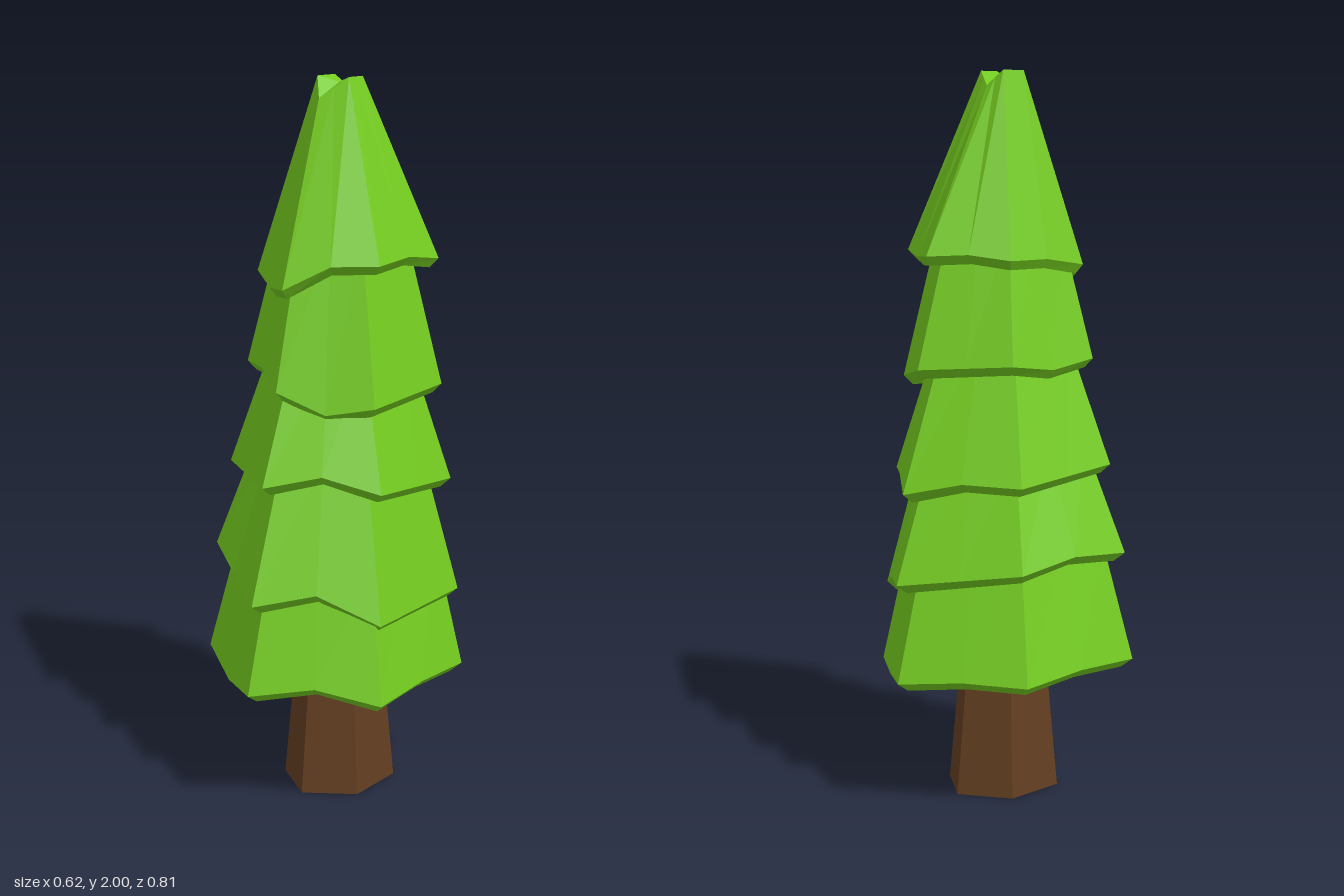
import * as THREE from 'three';

const leafGreen = new THREE.MeshStandardMaterial({ color: 0x74cc20, flatShading: true });
leafGreen.name = 'leafGreen';
const barkBrown = new THREE.MeshStandardMaterial({ color: 0x633e20, flatShading: true });
barkBrown.name = 'barkBrown';

// Skin a stack of equal rings of [x, y, z], listed bottom to top, and close both ends.
function loft(rings) {
  const pos = [];
  const n = rings[0].length;
  const tri = (a, b, c) => pos.push(...a, ...b, ...c);
  const centre = (ring) => [0, 1, 2].map((k) => ring.reduce((s, p) => s + p[k], 0) / n);
  for (let r = 0; r < rings.length - 1; r++) {
    for (let i = 0; i < n; i++) {
      const j = (i + 1) % n, lo = rings[r], hi = rings[r + 1];
      tri(lo[i], lo[j], hi[j]);
      tri(lo[i], hi[j], hi[i]);
    }
  }
  const first = rings[0], last = rings[rings.length - 1];
  const c0 = centre(first), c1 = centre(last);
  for (let i = 0; i < n; i++) {
    const j = (i + 1) % n;
    tri(first[j], first[i], c0);
    tri(last[i], last[j], c1);
  }
  const geo = new THREE.BufferGeometry();
  geo.setAttribute('position', new THREE.Float32BufferAttribute(pos, 3));
  geo.computeVertexNormals();
  return geo;
}

// Add a point halfway along every side, shifted up or down by dy.
function withMidpoints(corners, dy = []) {
  return corners.flatMap((a, i) => {
    const b = corners[(i + 1) % corners.length];
    const mid = a.map((v, k) => (v + b[k]) / 2);
    mid[1] += dy[i] || 0;
    return [a, mid];
  });
}

const shrink = (ring, s, lift) => ring.map(([x, y, z]) => [x * s, y + lift, z * s]);

// Hem corners run front, front +x, back +x, back, back -x, front -x.
const tiers = [
  { hem: [[0, 0.37, 0.405], [0.3, 0.35, 0.205], [0.285, 0.345, -0.205], [-0.02, 0.37, -0.405], [-0.315, 0.38, -0.205], [-0.315, 0.385, 0.2]],
    dy: [0.035, 0.01, -0.01, 0.01, 0.01, -0.03], topY: 0.72, topScale: 0.76 },
  { hem: [[0, 0.62, 0.385], [0.275, 0.565, 0.175], [0.27, 0.57, -0.2], [0, 0.635, -0.39], [-0.29, 0.68, -0.2], [-0.305, 0.69, 0.175]],
    dy: [0.06, 0, 0.02, 0, 0.02, 0], topY: 1.0, topScale: 0.66 },
  { hem: [[0, 0.94, 0.335], [0.26, 0.925, 0.155], [0.26, 0.9, -0.17], [0, 0.88, -0.365], [-0.275, 0.91, -0.19], [-0.265, 0.935, 0.155]],
    dy: [0.04, 0, 0.02, 0.02, 0, 0], topY: 1.28, topScale: 0.6 },
  { hem: [[0, 1.19, 0.275], [0.222, 1.15, 0.135], [0.225, 1.165, -0.17], [0, 1.21, -0.31], [-0.215, 1.225, -0.165], [-0.215, 1.225, 0.135]],
    dy: [-0.04, 0, 0, 0, -0.02, 0.025], topY: 1.58, topScale: 0.64 },
  { hem: [[0.02, 1.465, 0.27], [0.228, 1.53, 0.125], [0.22, 1.515, -0.155], [0, 1.51, -0.278], [-0.18, 1.5, -0.14], [-0.18, 1.48, 0.13]],
    dy: [0.03, 0.015, -0.01, 0.01, 0.01, -0.02],
    top: [[-0.01, 1.945, 0.075], [0.055, 2, 0.03], [0.055, 2, -0.03], [0, 1.96, -0.06], [-0.05, 2, -0.045], [-0.05, 2, 0.03]] },
];

export function createModel() {
  const group = new THREE.Group();
  group.name = 'pineTree';

  // Tapered six-sided trunk
  const trunk = new THREE.Mesh(new THREE.CylinderGeometry(0.095, 0.152, 0.65, 6), barkBrown);
  trunk.name = 'trunk';
  trunk.scale.z = 1.15;
  trunk.position.y = 0.325;
  group.add(trunk);

  // Overlapping foliage tiers: hollow underside, drooping lip, hem, narrowed top
  tiers.forEach(({ hem, dy, topY, topScale, top }, i) => {
    const outer = withMidpoints(hem, dy);
    const lip = shrink(outer, 0.91, -0.025);
    const hollow = shrink(outer, 0.5, 0.09);
    const upper = withMidpoints(top || hem.map(([x, , z]) => [x * topScale, topY, z * topScale]));
    const tier = new THREE.Mesh(loft([hollow, lip, outer, upper]), leafGreen);
    tier.name = `foliageTier${i + 1}`;
    group.add(tier);
  });

  return group;
}
